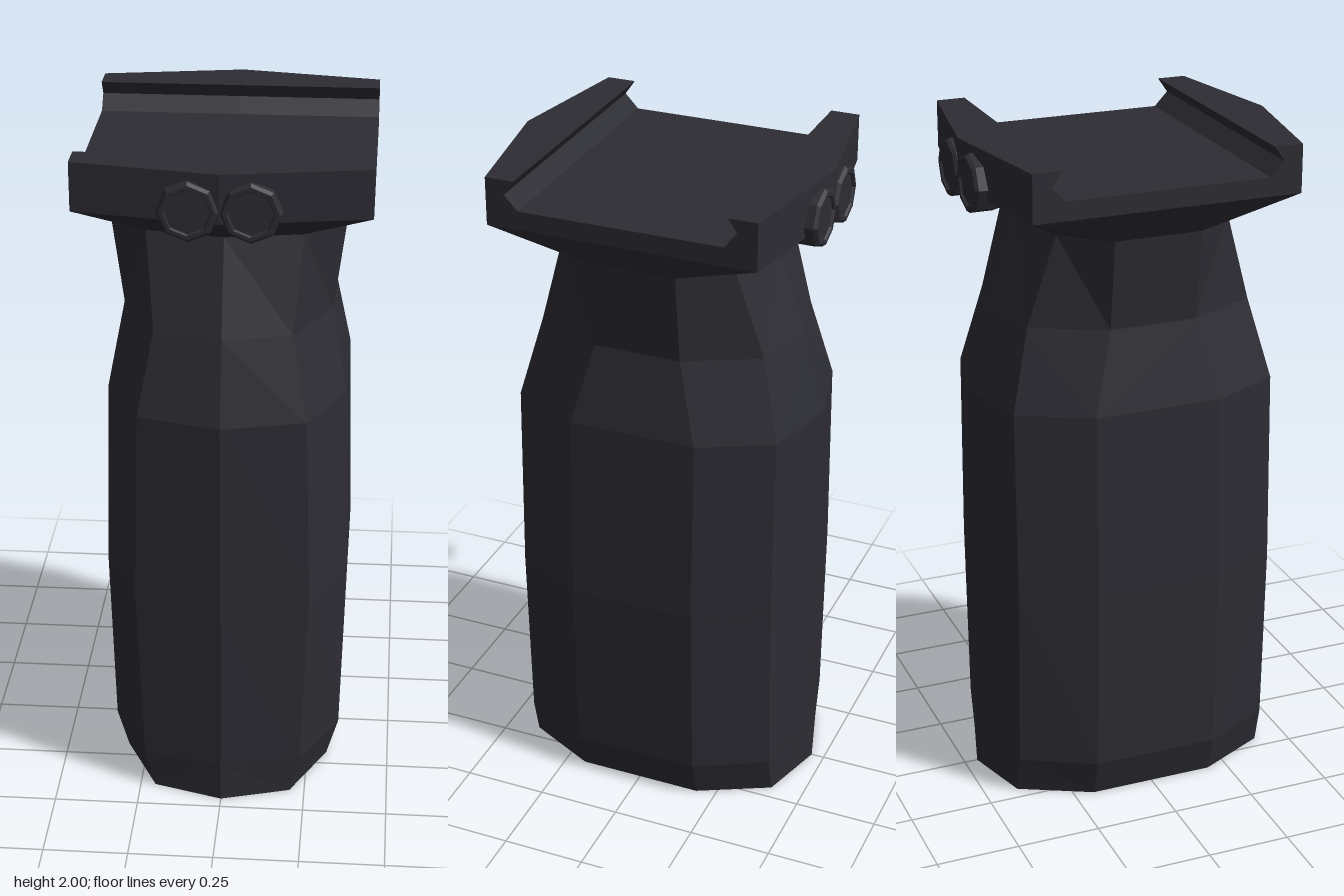
import * as THREE from 'three';

const polymer = new THREE.MeshStandardMaterial({ color: 0x2c2c33, flatShading: true });
polymer.name = 'dark polymer';

// Ten-sided ring: front/back ridge, corners and flat sides
function ring(y, sideX, cornerX, ridgeZ, cornerZ, sideZ) {
  const half = [[0, ridgeZ], [cornerX, cornerZ], [sideX, sideZ], [sideX, -sideZ], [cornerX, -cornerZ]];
  return [...half, ...half.map(([x, z]) => [-x, -z])].map(([x, z]) => new THREE.Vector3(x, y, z));
}

// Flat-shaded skin over a list of rings, with mirrored diagonals
function loft(rings) {
  const points = [];
  for (let j = 0; j < rings.length - 1; j++) {
    const n = rings[j].length;
    for (let i = 0; i < n; i++) {
      const k = (i + 1) % n;
      const a = rings[j][i], b = rings[j][k], c = rings[j + 1][k], d = rings[j + 1][i];
      const tris = i % 5 < 2 ? [[a, b, d], [b, c, d]] : [[a, b, c], [a, c, d]];
      for (const t of tris) {
        if (t[0].equals(t[1]) || t[1].equals(t[2]) || t[2].equals(t[0])) continue;
        points.push(...t);
      }
    }
  }
  const geometry = new THREE.BufferGeometry().setFromPoints(points);
  geometry.computeVertexNormals();
  return geometry;
}

function addMesh(parent, name, geometry) {
  const mesh = new THREE.Mesh(geometry, polymer);
  mesh.name = name;
  parent.add(mesh);
  return mesh;
}

export function createModel() {
  const model = new THREE.Group();
  model.name = 'verticalGrip';

  // Handle: y, sideX, cornerX, ridgeZ, cornerZ, sideZ
  const sections = [
    [0, 0.31, 0.205, 0.46, 0.40, 0.19],
    [0.12, 0.345, 0.235, 0.46, 0.40, 0.19],
    [0.68, 0.36, 0.255, 0.46, 0.40, 0.19],
    [1.25, 0.345, 0.24, 0.46, 0.40, 0.19],
    [1.49, 0.30, 0.195, 0.395, 0.34, 0.13],
    [1.76, 0.335, 0.22, 0.30, 0.26, 0.13],
  ];
  const outer = sections.map((s) => ring(...s));
  addMesh(model, 'handle', loft(outer));

  // Hollow core, from the ceiling down to the bottom rim
  const t = 0.045;
  const inner = sections.slice(0, 5).map(([y, sx, cx, rz, cz, sz]) =>
    ring(y, sx - t, cx - t * 0.6, rz - t, cz - t, sz - t * 0.4)).reverse();
  const ceiling = ring(1.49, 0, 0, 0, 0, 0);
  addMesh(model, 'hollowCore', loft([ceiling, ...inner, outer[0]]));

  // Flare from the neck to the six-sided mount
  const mountRing = ring(1.86, 0.41, 0.41, 0.465, 0.395, 0.395);
  addMesh(model, 'mountFlare', loft([outer[5], mountRing]));

  // Rail mount: channel profile extruded sideways, bowed out at the middle
  const rightHalf = [[0.395, 1.86], [0.395, 2], [0.31, 2], [0.34, 1.957], [0.30, 1.915]];
  const leftHalf = rightHalf.map(([z, y]) => [-z, y]).reverse();
  const profile = new THREE.Shape([...rightHalf, ...leftHalf].map((p) => new THREE.Vector2(...p)));
  const mount = new THREE.ExtrudeGeometry(profile, { depth: 0.82, steps: 2, bevelEnabled: false });
  mount.translate(0, 0, -0.41).rotateY(Math.PI / 2);
  const pos = mount.attributes.position;
  for (let i = 0; i < pos.count; i++) {
    const z = pos.getZ(i);
    if (Math.abs(pos.getX(i)) < 0.01 && Math.abs(z) > 0.36) pos.setZ(i, Math.sign(z) * 0.465);
  }
  mount.computeVertexNormals();
  addMesh(model, 'railMount', mount);

  // Paired clamp bolts with recessed faces, front and back
  const boltProfile = [[0, 0], [0.085, 0], [0.085, 0.065], [0.077, 0.075], [0.066, 0.075], [0.062, 0.068], [0, 0.068]]
    .map((p) => new THREE.Vector2(...p));
  const bolt = new THREE.LatheGeometry(boltProfile, 8).rotateX(Math.PI / 2);
  for (const side of [1, -1]) {
    for (const x of [-0.085, 0.085]) {
      const mesh = addMesh(model, side > 0 ? 'frontBolt' : 'backBolt', bolt);
      mesh.position.set(x, 1.893, side * 0.398);
      if (side < 0) mesh.rotation.y = Math.PI;
    }
  }
  return model;
}
